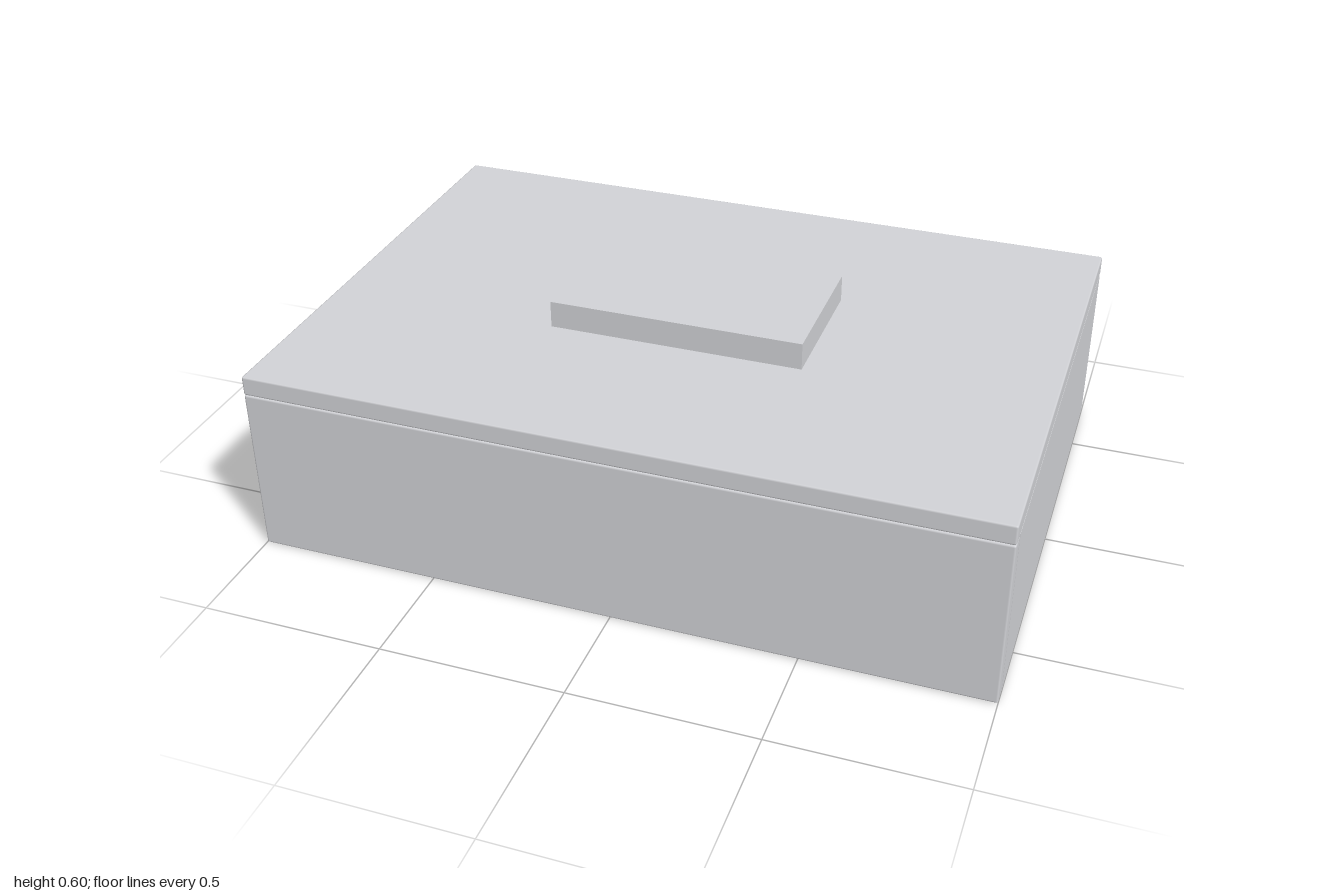
import * as THREE from 'three';
import { RoundedBoxGeometry } from 'three/addons/geometries/RoundedBoxGeometry.js';

export function createModel() {
  const model = new THREE.Group();
  model.name = 'lidded box';

  const grey = new THREE.MeshStandardMaterial({ color: 0xd1d2d6 });
  grey.name = 'pale cool grey';

  const add = (name, geometry, x, y, z) => {
    const mesh = new THREE.Mesh(geometry, grey);
    mesh.name = name;
    mesh.position.set(x, y, z);
    model.add(mesh);
  };

  const wall = 0.05;        // wall thickness
  const wallTop = 0.47;     // walls stop here, lid sits on them
  const lidTop = 0.525;
  const edge = 0.006;       // tiny softened edge

  // Front and back walls span the full width; side walls fit between them
  for (const [name, s] of [['frontWall', 1], ['backWall', -1]]) {
    add(name, new RoundedBoxGeometry(2, wallTop, wall, 1, edge), 0, wallTop / 2, s * (0.7 - wall / 2));
  }
  for (const [name, s] of [['leftWall', 1], ['rightWall', -1]]) {
    add(name, new THREE.BoxGeometry(wall, wallTop, 1.4 - 2 * wall), s * (1 - wall / 2), wallTop / 2, 0);
  }

  // Lid over the open-bottomed body
  add('lid', new RoundedBoxGeometry(2, lidTop - wallTop, 1.4, 1, edge), 0, (lidTop + wallTop) / 2, 0);

  // Raised block in the middle of the lid
  add('topBlock', new THREE.BoxGeometry(0.7, 0.6 - lidTop, 0.396), 0, (lidTop + 0.6) / 2, 0);

  return model;
}
